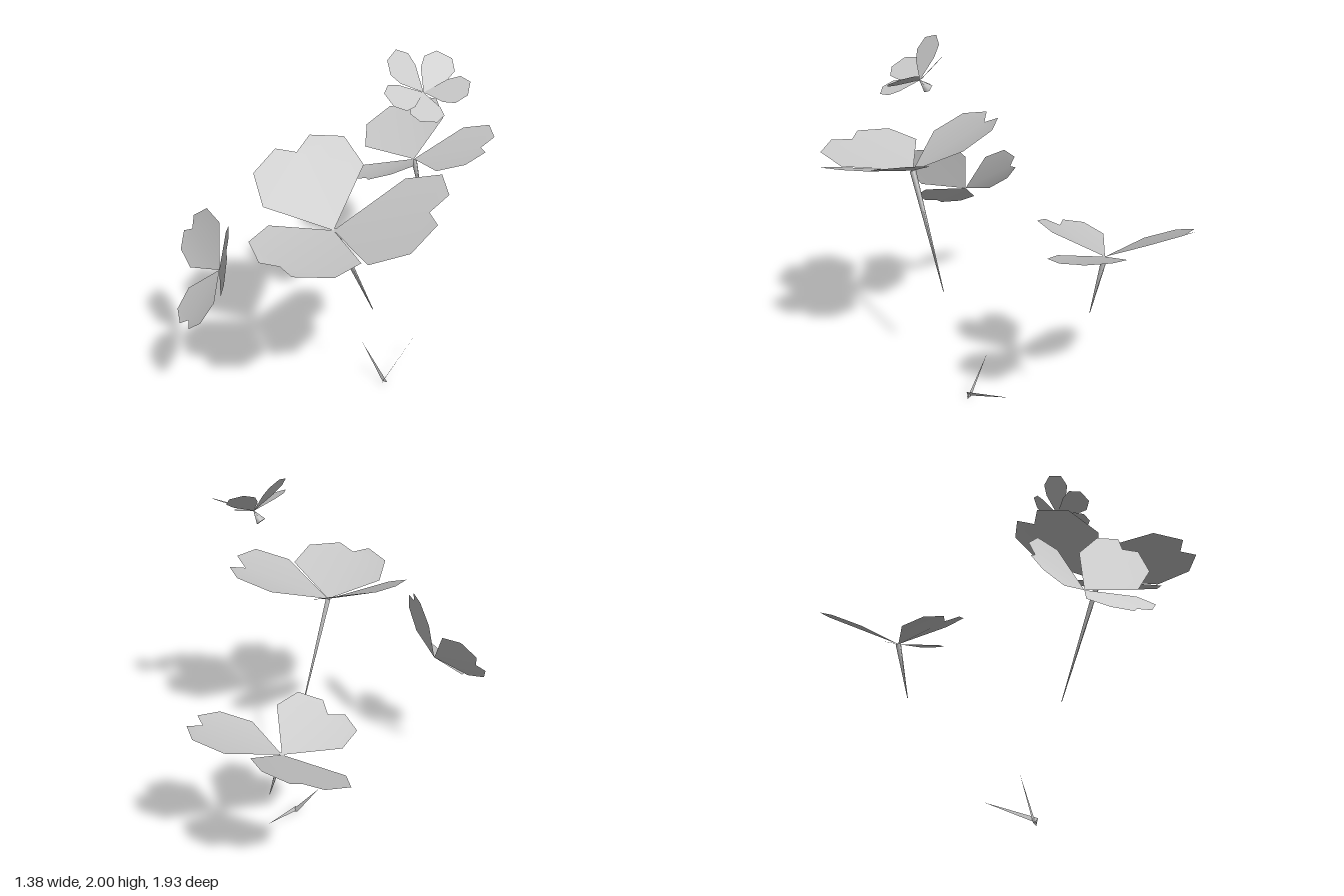
import * as THREE from 'three';

const V = (a) => new THREE.Vector3(...a);

// Builds a mesh from points and triangle corners
function surface(name, points, index, material) {
  const g = new THREE.BufferGeometry().setFromPoints(points);
  g.setIndex(index);
  g.computeVertexNormals();
  const mesh = new THREE.Mesh(g, material);
  mesh.name = name;
  return mesh;
}

// Heart-shaped leaflet: two halves hinged on the midrib, each spanned by notch and shoulder vectors
function leaflet(base, [notch, shoulderA, shoulderB], material) {
  const b = V(base), u = V(notch), points = [b, b.clone().add(u)];
  for (const side of [shoulderA, shoulderB]) {
    for (const [a, c] of [[-0.5, 1.1], [0, 1], [0.77, 0.38]]) {
      points.push(b.clone().addScaledVector(u, a).addScaledVector(V(side), c));
    }
  }
  return surface('leaflet', points, [1, 0, 2, 1, 2, 3, 1, 3, 4, 1, 5, 0, 1, 6, 5, 1, 7, 6], material);
}

// Rounded petal, widest past the middle, its width square to the flower axis
function petal(base, tip, axis, material) {
  const b = V(base), u = V(tip), w = axis.clone().cross(u).setLength(0.075);
  const outline = [[0, 0], [0.5, 0.85], [0.78, 1], [1.03, 0.5], [1.03, -0.5], [0.78, -1], [0.5, -0.85]];
  const points = outline.map(([a, c]) => b.clone().addScaledVector(u, a).addScaledVector(w, c));
  const index = [];
  for (let i = 1; i < 6; i++) index.push(0, i, i + 1);
  return surface('petal', points, index, material);
}

// Tapered stem between two points
function stem(name, from, to, r, material, sides = 4) {
  const a = V(from), d = V(to).sub(a);
  const g = new THREE.CylinderGeometry(0.002, r, d.length(), sides);
  const mesh = new THREE.Mesh(g, material);
  mesh.name = name;
  mesh.position.copy(a).addScaledVector(d, 0.5);
  mesh.quaternion.setFromUnitVectors(new THREE.Vector3(0, 1, 0), d.normalize());
  return mesh;
}

export function createModel() {
  const model = new THREE.Group();
  model.name = 'cloverPlant';
  const grey = new THREE.MeshStandardMaterial({ color: 0xcccccc, side: THREE.DoubleSide });
  grey.name = 'pale grey';

  // Three clover leaves, each with three leaflets: notch, shoulder, shoulder
  const clovers = [
    { name: 'largeClover', base: [0.18, 1.2, 0.48], leaflets: [
      [[-0.33, 0.215, -0.2], [-0.18, 0.26, -0.38], [-0.42, 0.185, 0.025]],
      [[0.01, 0.065, 0.435], [-0.2, 0.08, 0.37], [0.26, 0.08, 0.4]],
      [[0.42, 0.17, -0.12], [0.48, 0.135, 0.155], [0.365, 0.235, -0.34]],
    ], foot: [0.245, 0.61, 0.23] },
    { name: 'backClover', base: [0.01, 1, -0.6], leaflets: [
      [[-0.22, 0.13, -0.3], [-0.06, 0.2, -0.36], [-0.39, 0.04, -0.15]],
      [[-0.1, 0.02, 0.34], [-0.26, -0.015, 0.31], [0.06, 0.1, 0.36]],
      [[0.355, 0.135, -0.08], [0.345, 0.105, 0.08], [0.32, 0.185, -0.25]],
    ], foot: [0.09, 0.72, -0.58] },
    { name: 'sideClover', base: [-0.385, 0.86, 0.63], leaflets: [
      [[-0.255, 0.085, -0.12], [-0.17, 0.22, -0.145], [-0.295, -0.02, -0.065]],
      [[-0.01, -0.15, 0.24], [-0.14, -0.18, 0.17], [0.105, -0.09, 0.29]],
      [[0.165, 0.255, 0.13], [0.22, 0.14, 0.235], [0.105, 0.31, 0.03]],
    ] },
  ];
  for (const c of clovers) {
    const leaf = new THREE.Group();
    leaf.name = c.name;
    for (const l of c.leaflets) leaf.add(leaflet(c.base, l, grey));
    if (c.foot) leaf.add(stem('leafStem', c.base, c.foot, 0.017, grey));
    model.add(leaf);
  }

  // Small five-petalled flower
  const flower = new THREE.Group();
  flower.name = 'flower';
  const heart = [0.44, 1.82, 0.15], axis = new THREE.Vector3(0.35, 0.85, 0.3);
  const tips = [[-0.13, 0.16, 0.05], [0.02, 0.125, -0.14], [0.19, 0.05, -0.04], [0.1, -0.05, 0.14], [-0.06, 0.03, 0.19]];
  for (const t of tips) flower.add(petal(heart, t, axis, grey));
  flower.add(stem('calyx', [0.4, 1.775, 0.14], heart, 0.025, grey, 5));
  model.add(flower);

  // Two flat slivers of stalk meeting at the ground
  const slivers = [
    [[0.22, 0.01, 0.075], [0.25, 0.015, 0.075], [0.09, 0.22, 0.07]],
    [[0.225, 0.01, 0.09], [0.235, 0.035, 0.095], [0.265, 0.16, -0.22]],
    [[0.22, 0.01, 0.075], [0.245, 0, 0.08], [0.23, 0.03, 0.095]],
  ];
  for (const s of slivers) model.add(surface('stalkSliver', s.map(V), [0, 1, 2], grey));
  return model;
}
